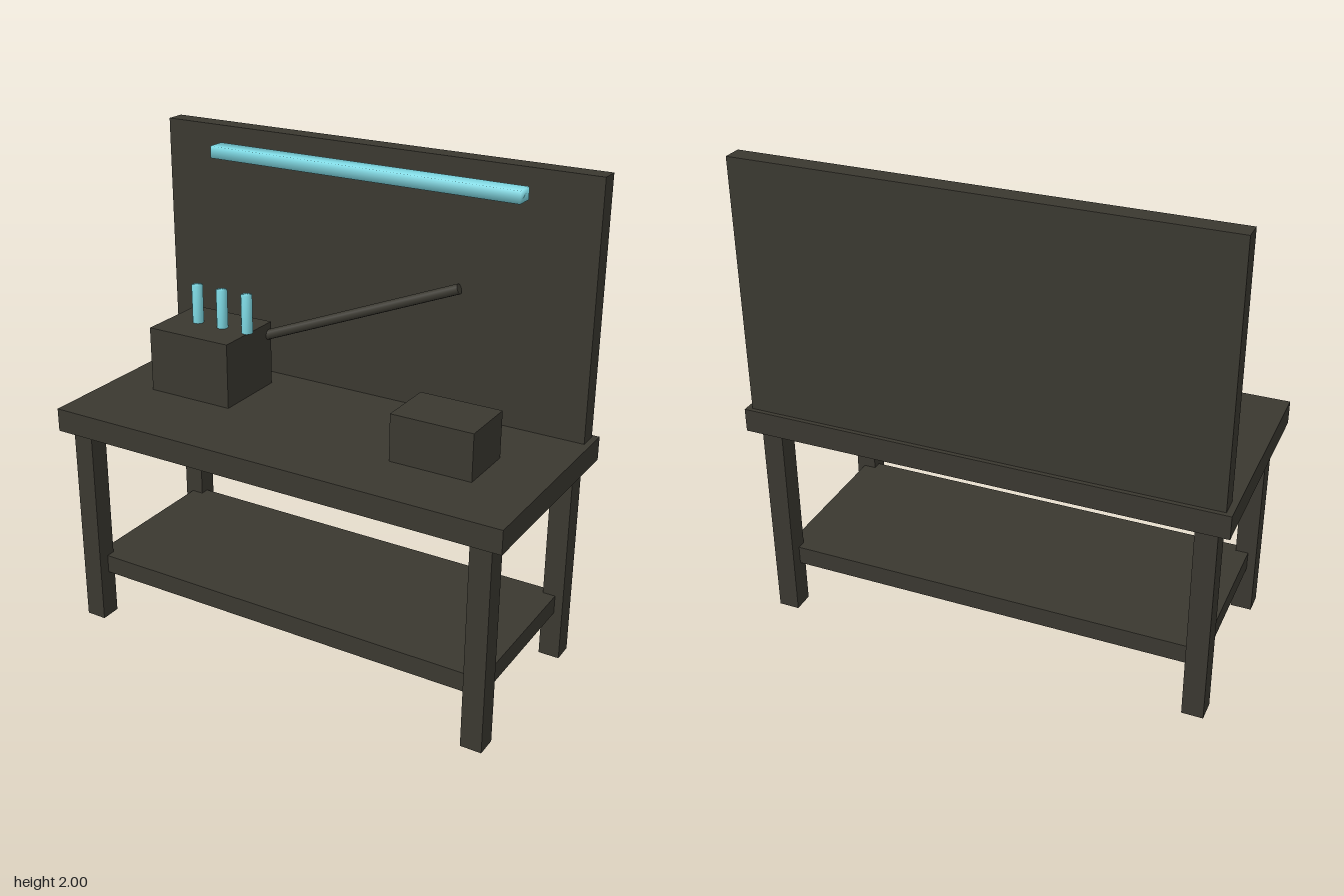
import * as THREE from 'three';
import { mergeVertices } from 'three/addons/utils/BufferGeometryUtils.js';

const dark = new THREE.MeshStandardMaterial({ color: 0x3a3830 });
dark.name = 'darkWood';
const glow = new THREE.MeshStandardMaterial({ color: 0x7fdbe6 });
glow.name = 'paleCyan';

// Rounds the shading over all edges of a simple solid
function softened(geometry) {
  geometry.deleteAttribute('uv');
  geometry.deleteAttribute('normal');
  const merged = mergeVertices(geometry);
  merged.computeVertexNormals();
  return merged;
}

export function createModel() {
  const group = new THREE.Group();
  group.name = 'workbench';

  const add = (name, geometry, material, position) => {
    const mesh = new THREE.Mesh(geometry, material);
    mesh.name = name;
    mesh.position.set(...position);
    group.add(mesh);
    return mesh;
  };

  // Box given by its lower and upper corners
  const box = (name, a, b) => add(
    name,
    new THREE.BoxGeometry(b[0] - a[0], b[1] - a[1], b[2] - a[2]),
    dark,
    a.map((v, i) => (v + b[i]) / 2),
  );

  // Table: top, lower shelf and four legs
  box('tableTop', [-0.985, 0.865, -0.443], [0.985, 0.962, 0.443]);
  box('lowerShelf', [-0.9, 0.205, -0.36], [0.9, 0.284, 0.36]);
  for (const [side, sx] of [['Left', 1], ['Right', -1]]) {
    for (const [end, sz] of [['front', 1], ['back', -1]]) {
      add(`${end}${side}Leg`, new THREE.BoxGeometry(0.087, 0.867, 0.087), dark,
        [sx * 0.891, 0.4335, sz * 0.365]);
    }
  }

  // Upright board and the two blocks on the table
  box('backPanel', [-0.96, 0.962, -0.425], [0.96, 2, -0.346]);
  box('tallBlock', [-0.78, 0.962, -0.24], [-0.398, 1.236, 0.08]);
  box('lowBlock', [0.395, 0.962, -0.07], [0.736, 1.155, 0.172]);

  // Sloping arm from the tall block to the panel
  const start = new THREE.Vector3(-0.45, 1.165, -0.217);
  const tip = new THREE.Vector3(0.418, 1.498, -0.323);
  const along = tip.clone().sub(start);
  const arm = add('arm', new THREE.CylinderGeometry(0.021, 0.021, along.length(), 12), dark,
    start.clone().add(tip).multiplyScalar(0.5).toArray());
  arm.quaternion.setFromUnitVectors(new THREE.Vector3(0, 1, 0), along.normalize());

  // Glowing vials on the tall block
  for (const x of [-0.652, -0.53, -0.408]) {
    add('vial', softened(new THREE.CylinderGeometry(0.0235, 0.0235, 0.163, 12)), glow,
      [x, 1.3165, -0.081]);
  }

  // Light bar in front of the panel
  add('lightBar', softened(new THREE.BoxGeometry(1.364, 0.049, 0.078)), glow, [0, 1.91, -0.284]);

  return group;
}
